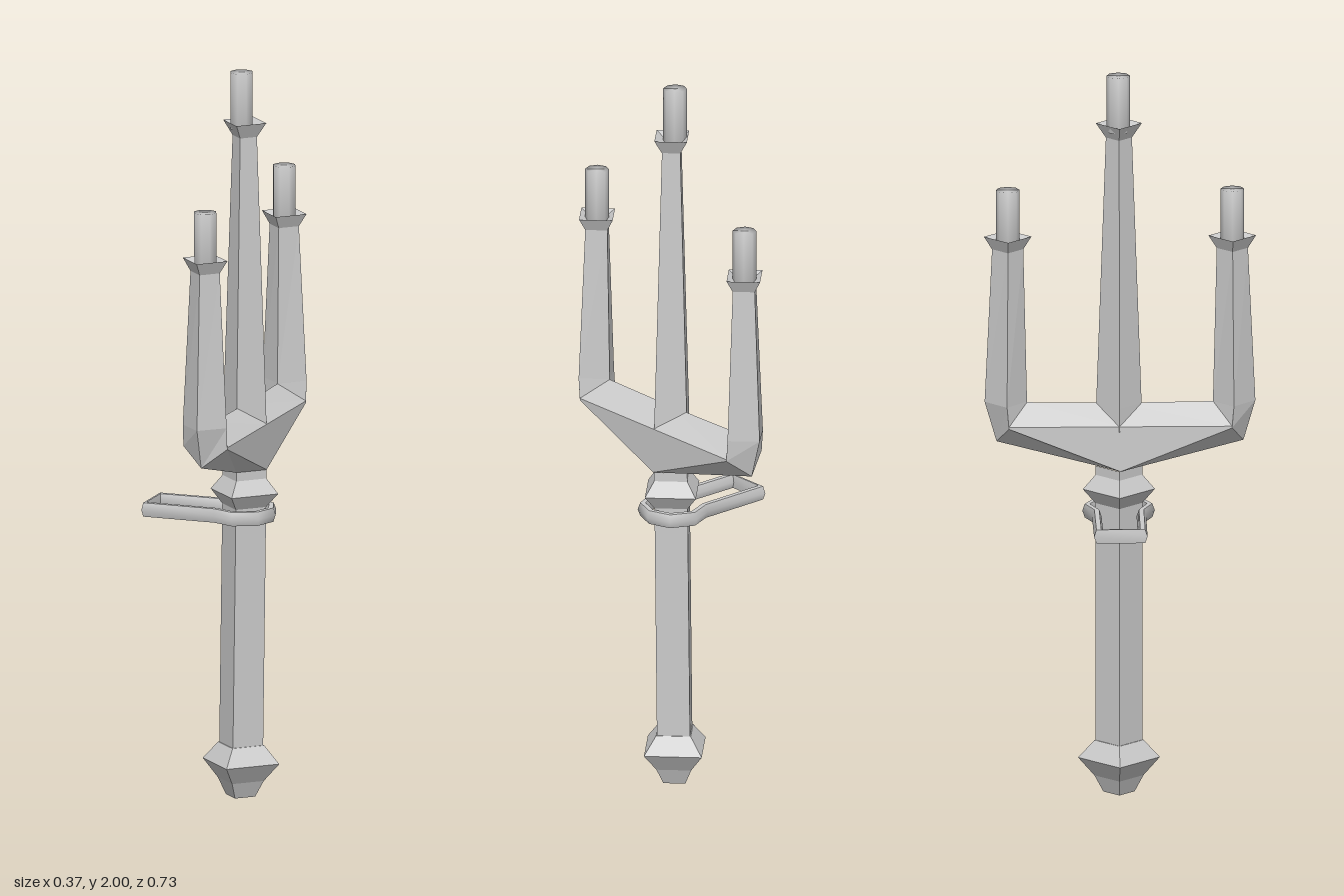
import * as THREE from 'three';
import { toCreasedNormals } from 'three/addons/utils/BufferGeometryUtils.js';

const V = (x, y, z) => new THREE.Vector3(x, y, z);

// Skin a list of equal-length cross-sections; collapsed sections act as caps.
function loft(name, sections, { closed = false, smooth = false } = {}) {
  const pos = [];
  const n = sections[0].length;
  const tri = (a, b, c) => {
    const area = b.clone().sub(a).cross(c.clone().sub(a)).length();
    if (area > 1e-9) for (const p of [a, b, c]) pos.push(p.x, p.y, p.z);
  };
  const last = closed ? sections.length : sections.length - 1;
  for (let i = 0; i < last; i++) {
    const lo = sections[i], hi = sections[(i + 1) % sections.length];
    for (let j = 0; j < n; j++) {
      const k = (j + 1) % n;
      tri(lo[j], lo[k], hi[k]);
      tri(lo[j], hi[k], hi[j]);
    }
  }
  let geo = new THREE.BufferGeometry();
  geo.setAttribute('position', new THREE.Float32BufferAttribute(pos, 3));
  geo.computeVertexNormals();
  if (smooth) geo = toCreasedNormals(geo, 1.2);
  const mesh = new THREE.Mesh(geo, new THREE.MeshStandardMaterial({ color: 0xcccccc, flatShading: !smooth }));
  mesh.name = name;
  return mesh;
}

// Four-sided section: +z, +x, -z, -x corners
const diamond = (cx, y, cz, r) =>
  [V(cx, y, cz + r), V(cx + r, y, cz), V(cx, y, cz - r), V(cx - r, y, cz)];

// Upright diamond column from [radius, height] pairs; it leans very slightly
const lean = (y) => Math.min(0.071 + 0.013 * y, 0.083);
const column = (name, profile) =>
  loft(name, profile.map(([r, y]) => diamond(lean(y), y, -0.003, r)));

// Round candle stub with softly shaded edges
function candle(name, x, z, bottom, top) {
  const r = 0.032;
  const pts = [[0, bottom], [r, bottom], [r, top], [0, top]]
    .map(([a, b]) => new THREE.Vector2(a, b));
  const mesh = new THREE.Mesh(new THREE.LatheGeometry(pts, 8),
    new THREE.MeshStandardMaterial({ color: 0xcccccc }));
  mesh.position.set(x, 0, z);
  mesh.name = name;
  return mesh;
}

// Side arm that grows from the neck, bends up and ends in a hollow cup (built along +z)
function sideArm(name) {
  const r = 0.063;
  // corners: outer/bottom, low side, side, inner/top, side, low side; each as [y, z]
  const section = (outer, low, side, inner) => [
    V(0, ...outer), V(r, ...low), V(r, ...side), V(0, ...inner), V(-r, ...side), V(-r, ...low),
  ];
  const cup = (rad, y) => {
    const [a, b, c, d] = diamond(0, y, 0.302, rad);
    return [a, b, b, c, d, d];
  };
  const sections = [
    section([0.91, r], [0.91, 0], [1.035, 0], [1.085, 0]),
    section([0.98, 0.332], [1.03, 0.3], [1.035, 0.3], [1.088, 0.25]),
    section([1.09, 0.364], [1.09, 0.305], [1.09, 0.305], [1.09, 0.25]),
    cup(0.042, 1.515), cup(0.064, 1.55), cup(0.03, 1.535), cup(0, 1.535),
  ];
  const arm = new THREE.Group();
  arm.name = name;
  arm.add(loft('armAndCup', sections), candle('sideCandle', 0, 0.302, 1.53, 1.68));
  arm.position.x = 0.084;
  return arm;
}

// Closed bracket loop: wraps the shaft and reaches back to the wall side
function bracket() {
  // x, z of the bar centre, then its half width in x and z
  const half = [
    [-0.182, 0.059, -0.005, 0.013], [0.02, 0.06, 0, 0.013],
    [0.08, 0.084, 0, 0.0135], [0.138, 0.056, 0.01, 0.01],
  ];
  const path = [
    ...half,
    [0.158, 0, 0.0135, 0],
    ...half.slice().reverse().map(([x, z, dx, dz]) => [x, -z, dx, -dz]),
  ];
  const rings = path.map(([x, z, dx, dz]) => Array.from({ length: 6 }, (_, j) => {
    const c = Math.cos(j * Math.PI / 3), s = Math.sin(j * Math.PI / 3);
    return V(x + dx * c, 0.786 - 0.022 * s, z - 0.004 + dz * c);
  }));
  return loft('wallBracket', rings, { closed: true, smooth: true });
}

export function createModel() {
  const model = new THREE.Group();
  model.name = 'candelabra';

  model.add(
    column('pommel', [[0, 0], [0.042, 0.005], [0.066, 0.05], [0.11, 0.1], [0.066, 0.148], [0, 0.148]]),
    column('shaft', [[0.063, 0.14], [0.063, 0.91]]),
    column('collar', [[0.06, 0.803], [0.097, 0.845], [0.063, 0.885]]),
    column('centreSpike', [[0.063, 1.02], [0.061, 1.085], [0.035, 1.825], [0.062, 1.865], [0.03, 1.85], [0, 1.85]]),
    candle('centreCandle', 0.073, -0.005, 1.845, 2),
    bracket(),
  );

  const front = sideArm('frontArm');
  const back = sideArm('backArm');
  back.rotation.y = Math.PI;
  model.add(front, back);
  return model;
}
